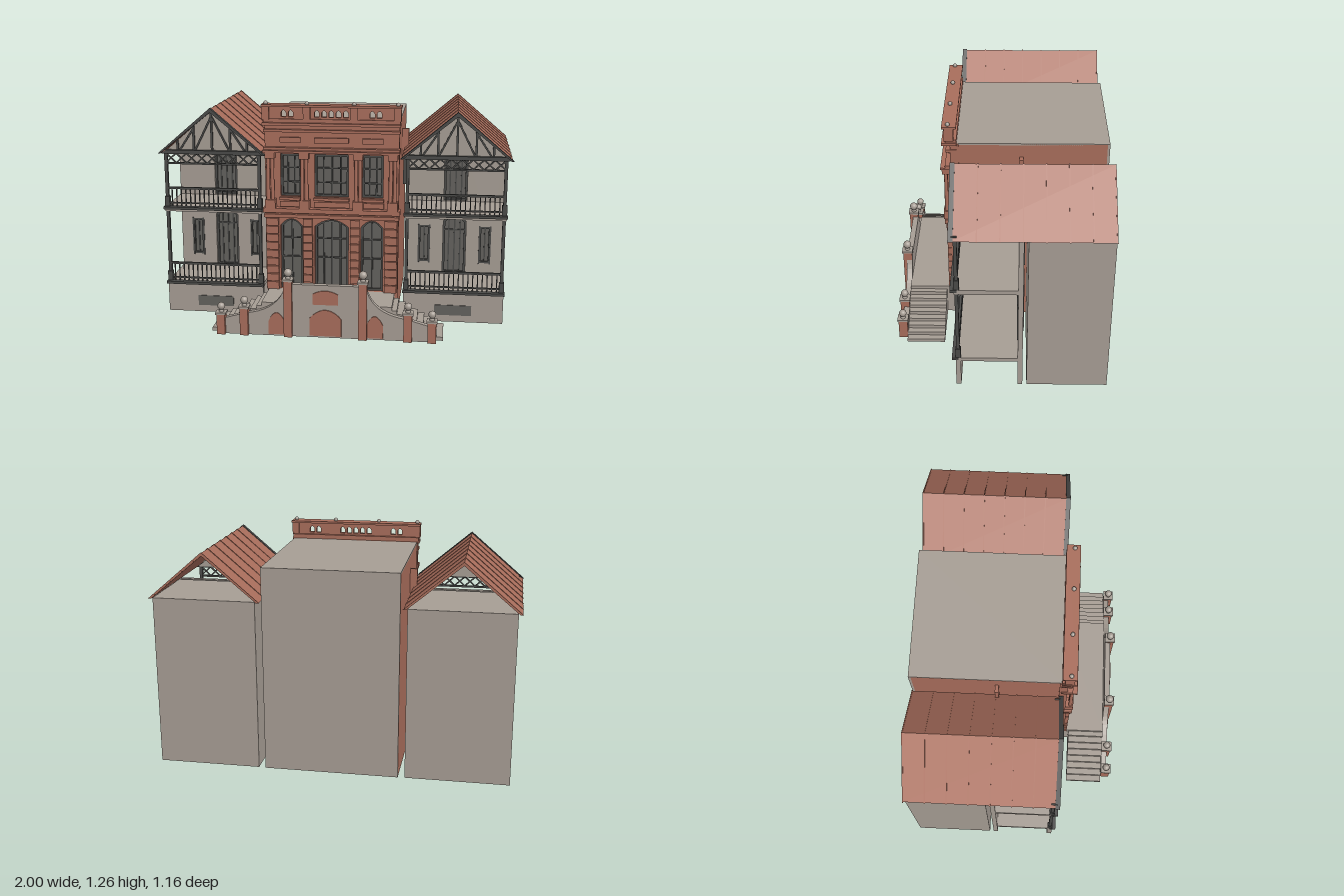
import * as THREE from 'three';

const mat = (name, color) => {
  const m = new THREE.MeshStandardMaterial({ color });
  m.name = name;
  return m;
};

export function createModel() {
  const brick = mat('brick red', 0xa86d5b), stone = mat('warm grey stone', 0xa69d94);
  const iron = mat('dark iron', 0x4a4a48), glass = mat('grey glass', 0x63615d);
  const root = new THREE.Group();
  root.name = 'house';

  // ---- helpers ----
  const group = (name, parent = root) => {
    const g = new THREE.Group();
    g.name = name;
    parent.add(g);
    return g;
  };
  const add = (p, name, geo, m) => {
    const o = new THREE.Mesh(geo, m);
    o.name = name;
    p.add(o);
    return o;
  };
  const box = (p, name, m, x0, x1, y0, y1, z0, z1) => {
    const o = add(p, name, new THREE.BoxGeometry(Math.abs(x1 - x0), y1 - y0, z1 - z0), m);
    o.position.set((x0 + x1) / 2, (y0 + y1) / 2, (z0 + z1) / 2);
    return o;
  };
  const bar = (p, name, m, ax, ay, bx, by, t, z0, z1) => {
    const o = add(p, name, new THREE.BoxGeometry(Math.hypot(bx - ax, by - ay), t, z1 - z0), m);
    o.position.set((ax + bx) / 2, (ay + by) / 2, (z0 + z1) / 2);
    o.rotation.z = Math.atan2(by - ay, bx - ax);
    return o;
  };
  const extrude = (p, name, m, shape, z0, z1) => {
    const o = add(p, name, new THREE.ExtrudeGeometry(shape, { depth: z1 - z0, bevelEnabled: false, curveSegments: 10 }), m);
    o.position.z = z0;
    return o;
  };
  const poly = (pts) => new THREE.Shape(pts.map(([x, y]) => new THREE.Vector2(x, y)));
  const arch = (x0, x1, y0, y1, rise, C = THREE.Shape) => {
    const s = new C();
    s.moveTo(x0, y0);
    s.lineTo(x1, y0);
    s.lineTo(x1, y1 - rise);
    if (rise > 0) s.quadraticCurveTo((x0 + x1) / 2, y1 + rise, x0, y1 - rise);
    else s.lineTo(x0, y1);
    s.lineTo(x0, y0);
    return s;
  };
  const rect = (x0, x1, y0, y1) => poly([[x0, y0], [x1, y0], [x1, y1], [x0, y1]]);
  // glazed opening: pane, outer frame, mullions and transoms
  const glazing = (p, name, [cx, w, y0, y1, rise], z, cols, rows) => {
    const g = group(name, p), h = w / 2, t = 0.012;
    extrude(g, 'pane', glass, arch(cx - h, cx + h, y0, y1, rise), z, z + 0.006);
    const ring = arch(cx - h, cx + h, y0, y1, rise);
    ring.holes.push(arch(cx - h + t, cx + h - t, y0 + t, y1 - t, rise * 0.9, THREE.Path));
    extrude(g, 'frame', iron, ring, z, z + 0.018);
    for (let i = 1; i < cols; i++) {
      const x = cx - h + (w * i) / cols;
      box(g, 'mullion', iron, x - 0.004, x + 0.004, y0, y1 - rise * 0.5, z, z + 0.014);
    }
    for (const f of rows) {
      const y = y0 + (y1 - y0) * f;
      box(g, 'transom', iron, cx - h, cx + h, y - 0.004, y + 0.004, z, z + 0.014);
    }
  };
  const pierced = (shape, openings) => {
    for (const [cx, w, y0, y1, rise] of openings) shape.holes.push(arch(cx - w / 2, cx + w / 2, y0, y1, rise, THREE.Path));
    return shape;
  };
  const ball = (p, x, y, z, r) => add(p, 'ballFinial', new THREE.SphereGeometry(r, 16, 12), stone).position.set(x, y, z);

  // ---- central block, open underneath ----
  const hall = group('centralBlock');
  for (const s of [-1, 1]) {
    box(hall, 'sideWall', brick, s * 0.355, s * 0.37, 0, 1.135, -0.565, 0.24);
    box(hall, 'sidePier', brick, s * 0.37, s * 0.41, 0.89, 1.06, -0.12, -0.1);
    box(hall, 'sideShutter', iron, s * 0.38, s * 0.41, 0.73, 0.9, -0.095, -0.083);
  }
  box(hall, 'backWall', stone, -0.37, 0.37, 0, 1.14, -0.578, -0.565);
  box(hall, 'flatRoof', stone, -0.37, 0.37, 1.13, 1.14, -0.578, 0.24);

  // ---- facade ----
  const facade = group('facade');
  const lower = [[-0.228, 0.125, 0.18, 0.595, 0.04], [0, 0.19, 0.18, 0.595, 0.04], [0.228, 0.125, 0.18, 0.595, 0.04]];
  const upper = [[-0.23, 0.115, 0.725, 0.965, 0], [0, 0.19, 0.725, 0.965, 0], [0.23, 0.115, 0.725, 0.965, 0]];
  box(facade, 'basementWall', brick, -0.375, 0.375, 0, 0.18, 0.225, 0.26);
  extrude(facade, 'lowerWall', brick, pierced(rect(-0.375, 0.375, 0.18, 0.64), lower), 0.225, 0.28);
  extrude(facade, 'upperWall', brick, pierced(rect(-0.375, 0.375, 0.64, 1.14), upper), 0.225, 0.27);
  lower.forEach((o, i) => glazing(facade, 'tallDoor', o, 0.24, i === 1 ? 4 : 2, [0.45, 0.72]));
  upper.forEach((o, i) => {
    glazing(facade, 'upperWindow', o, 0.24, i === 1 ? 4 : 3, [0.33, 0.67]);
    const h = o[1] / 2 + 0.005;
    box(facade, 'windowSill', brick, o[0] - h, o[0] + h, 0.705, 0.72, 0.26, 0.292);
    box(facade, 'apronPanel', brick, o[0] - h, o[0] + h, 0.665, 0.695, 0.26, 0.279);
    box(facade, 'atticPanel', brick, o[0] - o[1] / 2, o[0] + o[1] / 2, 1.03, 1.06, 0.26, 0.285);
  });
  // rusticated pilasters below, paired columns above
  for (const x of [-0.335, -0.133, 0.133, 0.335]) {
    const w = Math.abs(x) > 0.2 ? 0.035 : 0.026;
    for (let i = 0; i < 9; i++) box(facade, 'pilasterBlock', brick, x - w, x + w, 0.182 + i * 0.047, 0.224 + i * 0.047, 0.27, 0.3);
    const cx = x * (Math.abs(x) > 0.2 ? 1.02 : 1.13);
    box(facade, 'columnPedestal', brick, cx - 0.029, cx + 0.029, 0.66, 0.71, 0.26, 0.315);
    for (const d of [-0.012, 0.012]) {
      add(facade, 'column', new THREE.CylinderGeometry(0.0095, 0.011, 0.24, 12), brick).position.set(cx + d, 0.83, 0.298);
    }
    box(facade, 'columnCapital', brick, cx - 0.027, cx + 0.027, 0.945, 0.985, 0.26, 0.318);
  }
  // cornices: half width, bottom, top, front
  for (const [w, y0, y1, z] of [[0.38, 0.605, 0.625, 0.303], [0.385, 0.635, 0.66, 0.31], [0.38, 0.98, 0.992, 0.325],
    [0.38, 0.992, 1.005, 0.3], [0.38, 1.09, 1.105, 0.293], [0.382, 1.13, 1.145, 0.315], [0.378, 1.145, 1.165, 0.295], [0.387, 1.232, 1.244, 0.312]]) {
    box(facade, 'cornice', brick, -w, w, y0, y1, 0.235, z);
  }
  const vents = [-0.265, -0.225, -0.08, -0.04, 0, 0.04, 0.08, 0.225, 0.265].map((x) => [x, 0.027, 1.175, 1.212, 0.013]);
  extrude(facade, 'parapet', brick, pierced(rect(-0.375, 0.375, 1.16, 1.235), vents), 0.255, 0.285);
  for (const x of [-0.365, -0.135, 0.125, 0.365]) {
    box(facade, 'parapetPier', brick, x - 0.02, x + 0.02, 1.16, 1.235, 0.25, 0.3);
    ball(facade, x, 1.25, 0.28, 0.012);
  }

  // ---- side wings with verandas ----
  const buildWing = (side) => {
    const wing = group(side < 0 ? 'rightWing' : 'leftWing');
    wing.position.x = side * 0.69;
    const W = 0.283;
    box(wing, 'wingBody', stone, -W, W, 0, 0.95, -0.575, -0.145);
    const doors = [[0, 0.135, 0.185, 0.54, 0.03], [0, 0.135, 0.635, 0.885, 0]];
    const slits = [-0.18, 0.18].map((x) => [x, 0.068, 0.255, 0.48, 0]);
    extrude(wing, 'verandaWall', stone, pierced(rect(-W, W, 0, 0.95), [...doors, ...slits]), -0.123, -0.097);
    doors.forEach((o) => glazing(wing, 'verandaDoor', o, -0.13, 4, [0.75]));
    slits.forEach((o) => glazing(wing, 'slitWindow', o, -0.115, 2, []));
    slits.forEach(([x]) => {
      for (const d of [-1, 1]) box(wing, 'slitFrame', iron, x + d * 0.028, x + d * 0.036, 0.25, 0.485, -0.1, -0.092);
    });
    // basement front, vent and floors
    box(wing, 'basementFront', stone, -W, W, 0, 0.165, 0.203, 0.23);
    box(wing, 'basementVent', glass, -0.105, 0.105, 0.04, 0.1, 0.228, 0.234);
    for (const [y0, y1] of [[0.16, 0.182], [0.605, 0.632]]) {
      box(wing, 'verandaFloor', stone, -W, W, y0, y1, -0.1, 0.23);
      box(wing, 'floorEdge', iron, -W - 0.005, W + 0.005, y1 - 0.012, y1 + 0.003, 0.215, 0.25);
    }
    // posts and railings
    for (const x of [-0.27, 0.27]) {
      box(wing, 'post', iron, x - 0.009, x + 0.009, 0.18, 0.955, 0.208, 0.226);
      for (const y of [0.182, 0.632]) box(wing, 'postBase', iron, x - 0.014, x + 0.014, y, y + 0.06, 0.203, 0.231);
    }
    for (const y of [0.185, 0.635]) {
      box(wing, 'handrail', iron, -0.27, 0.27, y + 0.1, y + 0.112, 0.211, 0.225);
      box(wing, 'bottomRail', iron, -0.27, 0.27, y + 0.014, y + 0.022, 0.213, 0.223);
      for (let i = 1; i < 20; i++) {
        const x = -0.27 + i * 0.027;
        box(wing, 'baluster', iron, x - 0.003, x + 0.003, y, y + 0.1, 0.215, 0.221);
      }
    }
    // lattice frieze under the gable
    box(wing, 'friezeBottom', iron, -0.27, 0.27, 0.882, 0.892, 0.212, 0.226);
    box(wing, 'tieBeam', iron, -0.29, 0.29, 0.943, 0.965, 0.205, 0.235);
    for (let i = 0; i < 9; i++) {
      const x = -0.27 + i * 0.06;
      bar(wing, 'lattice', iron, x, 0.89, x + 0.06, 0.945, 0.008, 0.214, 0.219);
      bar(wing, 'lattice', iron, x, 0.945, x + 0.06, 0.89, 0.008, 0.219, 0.224);
    }
    // half-timbered gable
    extrude(wing, 'gableWall', stone, poly([[-0.28, 0.95], [0.28, 0.95], [0, 1.19]]), 0.198, 0.212);
    for (const x of [-0.2, -0.105, 0, 0.105, 0.2]) {
      box(wing, 'gableStud', iron, x - 0.006, x + 0.006, 0.955, 1.19 - Math.abs(x) * 0.85, 0.208, 0.222);
    }
    for (const s of [-1, 1]) {
      bar(wing, 'gableBrace', iron, s * 0.105, 1.09, s * 0.19, 0.96, 0.01, 0.208, 0.22);
      bar(wing, 'gableBrace', iron, s * 0.005, 1.15, s * 0.1, 0.96, 0.01, 0.208, 0.22);
    }
    // roof shell, seams and bargeboard share one chevron section
    const chevron = (name, m, lift, t, z0, z1) => {
      const e = 0.305 + lift;
      extrude(wing, name, m, poly([[-e, 0.945], [-e + 0.014, 0.945], [0, 1.205 + lift - t], [e - 0.014, 0.945], [e, 0.945], [0, 1.205 + lift]]), z0, z1);
    };
    chevron('roof', brick, 0, 0.016, -0.575, 0.235);
    chevron('bargeboard', iron, 0.005, 0.025, 0.225, 0.25);
    for (let i = 0; i < 7; i++) chevron('roofSeam', brick, 0.004, 0.012, 0.107 - i * 0.114, 0.113 - i * 0.114);
  };
  buildWing(1);
  buildWing(-1);

  // ---- entrance terrace and double stair ----
  const terrace = group('terrace');
  box(terrace, 'landing', stone, -0.36, 0.36, 0, 0.18, 0.26, 0.525);
  const screen = new THREE.Shape();
  screen.moveTo(-0.585, 0);
  screen.lineTo(0.585, 0);
  screen.lineTo(0.585, 0.085);
  screen.lineTo(0.44, 0.125);
  screen.quadraticCurveTo(0.25, 0.15, 0.22, 0.3);
  screen.lineTo(-0.22, 0.3);
  screen.quadraticCurveTo(-0.25, 0.15, -0.44, 0.125);
  screen.lineTo(-0.585, 0.085);
  extrude(terrace, 'screenWall', stone, screen, 0.523, 0.555);
  extrude(terrace, 'centreNiche', brick, arch(-0.088, 0.088, 0.01, 0.16, 0.05), 0.553, 0.561);
  extrude(terrace, 'plaque', brick, arch(-0.07, 0.07, 0.19, 0.27, 0.02), 0.553, 0.561);
  for (const s of [-1, 1]) {
    const a = s * 0.27;
    extrude(terrace, 'sideNiche', brick, arch(a - 0.045, a + 0.045, 0.01, 0.135, 0.05), 0.553, 0.561);
    for (let i = 0; i < 8; i++) {
      box(terrace, 'step', stone, s * 0.35, s * (0.64 - i * 0.036), i * 0.02, (i + 1) * 0.02, 0.313, 0.525);
    }
    // brick piers with stone caps and balls: x, height, ball radius
    for (const [x, h, r] of [[0.205, 0.32, 0.023], [0.45, 0.155, 0.021], [0.58, 0.115, 0.021]]) {
      box(terrace, 'pier', brick, s * (x - 0.023), s * (x + 0.023), 0, h, 0.525, 0.575);
      box(terrace, 'pierCap', stone, s * (x - 0.029), s * (x + 0.029), h, h + 0.012, 0.521, 0.581);
      add(terrace, 'ballStem', new THREE.CylinderGeometry(0.009, 0.015, 0.018, 12), stone).position.set(s * x, h + 0.02, 0.551);
      ball(terrace, s * x, h + 0.022 + r, 0.551, r);
    }
  }
  return root;
}
